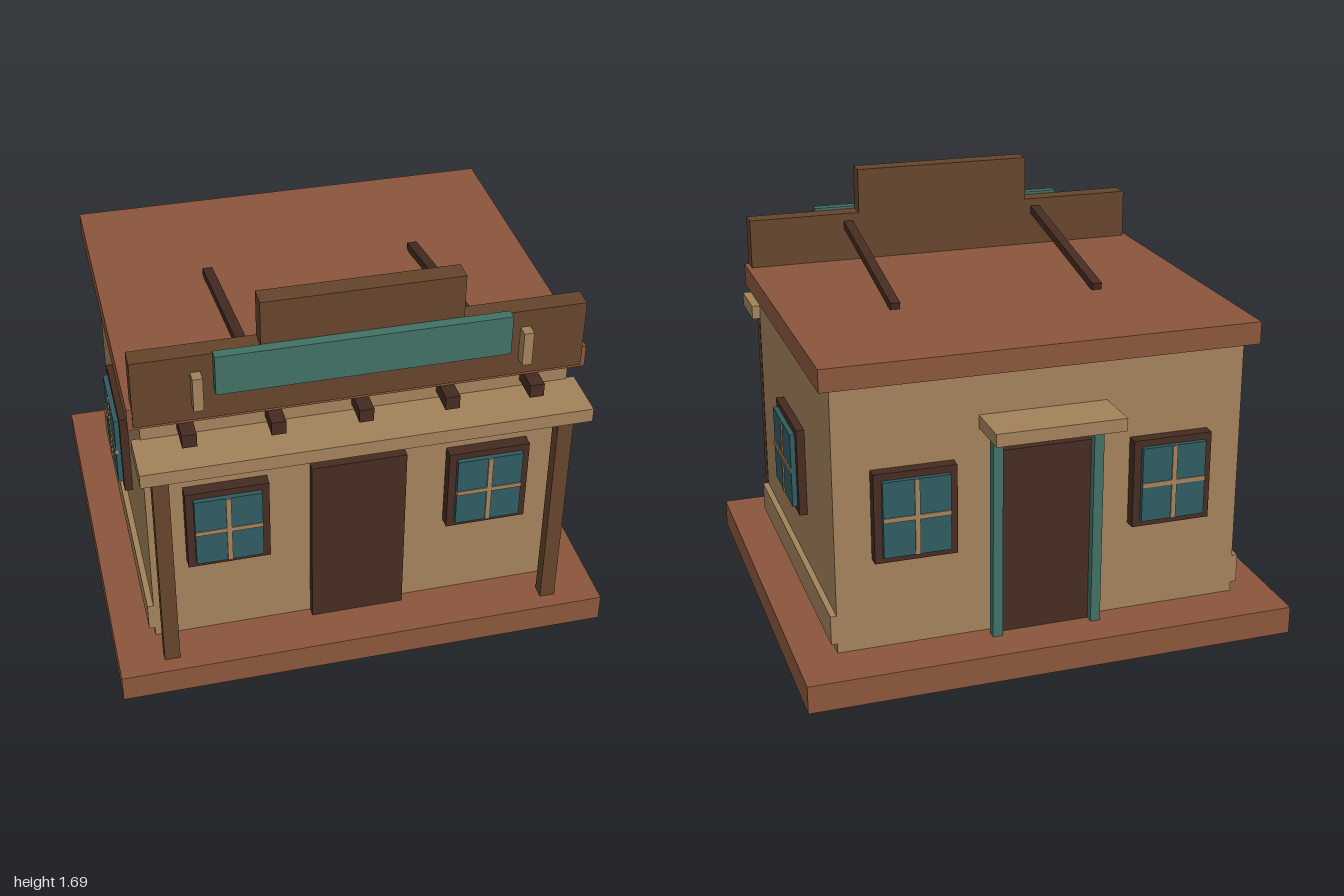
import * as THREE from 'three';

const material = (name, color) => {
  const m = new THREE.MeshStandardMaterial({ color });
  m.name = name;
  return m;
};

export function createModel() {
  const terracotta = material('terracotta', 0x8b563c);
  const adobe = material('adobe', 0xa2815a);
  const wood = material('brown wood', 0x65442b);
  const darkWood = material('dark wood', 0x452b21);
  const teal = material('teal paint', 0x427065);
  const glass = material('window glass', 0x2f5a60);

  const model = new THREE.Group();
  model.name = 'storefront';

  // Box given by its extents along x, y and z
  function box(name, mat, [x0, x1], [y0, y1], [z0, z1], parent = model) {
    const mesh = new THREE.Mesh(new THREE.BoxGeometry(x1 - x0, y1 - y0, z1 - z0), mat);
    mesh.position.set((x0 + x1) / 2, (y0 + y1) / 2, (z0 + z1) / 2);
    mesh.name = name;
    parent.add(mesh);
    return mesh;
  }
  const around = (c, width) => [c - width / 2, c + width / 2];

  // Main building
  box('foundation', terracotta, [-1, 1], [0, 0.115], [-0.88, 0.88]);
  box('walls', adobe, [-0.833, 0.833], [0.115, 1.21], [-0.668, 0.668]);
  box('roof', terracotta, [-0.88, 0.88], [1.205, 1.296], [-0.715, 0.715]);

  // Stepped false front and sign board
  box('parapet', wood, [-0.86, 0.86], [1.22, 1.503], [0.643, 0.724]);
  box('parapetTop', wood, [-0.382, 0.382], [1.503, 1.692], [0.643, 0.724]);
  box('signBoard', teal, [-0.558, 0.558], [1.348, 1.514], [0.724, 0.766]);

  // Porch canopy and front door
  box('porchCanopy', adobe, [-0.867, 0.867], [1.06, 1.118], [0.66, 0.877]);
  box('frontDoor', darkWood, [-0.19, 0.19], [0.115, 0.887], [0.66, 0.705]);

  // Beam ends above the porch
  for (let i = -2; i <= 2; i++) {
    box('beamEnd', darkWood, around(i / 3, 0.056), [1.147, 1.203], [0.66, 0.79]);
  }

  // Back entrance
  box('backDoor', darkWood, [-0.19, 0.19], [0.115, 0.887], [-0.7, -0.66]);
  box('backCanopy', adobe, [-0.26, 0.26], [0.978, 1.03], [-0.876, -0.66]);

  // Parts mirrored left and right
  for (const s of [-1, 1]) {
    box('signBracket', adobe, around(s * 0.623, 0.038), [1.29, 1.432], [0.72, 0.771]);
    box('porchPost', wood, around(s * 0.787, 0.062), [0.115, 1.06], [0.761, 0.816]);
    box('backPost', teal, around(s * 0.205, 0.04), [0.115, 0.955], [-0.736, -0.698]);
    box('sideTrim', adobe, around(s * 0.842, 0.03), [0.155, 0.275], [-0.668, 0.668]);

    // Sloping brace from the false front down to the roof
    const from = new THREE.Vector3(s * 0.43, 1.458, 0.67);
    const to = new THREE.Vector3(s * 0.43, 1.308, -0.12);
    const brace = new THREE.Mesh(
      new THREE.BoxGeometry(0.04, 0.034, from.distanceTo(to)), darkWood);
    brace.position.copy(from).add(to).multiplyScalar(0.5);
    brace.rotation.x = -Math.atan2(from.y - to.y, from.z - to.z);
    brace.name = 'parapetBrace';
    model.add(brace);
  }

  // Window facing +z with its back on z = 0
  function addWindow(width, x, z, turn) {
    const w = new THREE.Group();
    w.name = 'window';
    box('frame', darkWood, around(0, width), [-0.183, 0.183], [0, 0.049], w);
    const inner = width - 0.062;
    box('pane', glass, around(0, inner), [-0.155, 0.155], [0.02, 0.069], w);
    box('verticalBar', adobe, around(0, 0.02), [-0.154, 0.154], [0.06, 0.074], w);
    box('horizontalBar', adobe, around(0, inner), around(0, 0.019), [0.06, 0.0735], w);
    w.position.set(x, 0.678, z);
    w.rotation.y = turn;
    model.add(w);
  }
  for (const s of [-1, 1]) {
    addWindow(0.328, s * 0.524, 0.668, 0);
    addWindow(0.328, s * 0.524, -0.668, Math.PI);
    addWindow(0.394, s * 0.817, 0, s * Math.PI / 2);
  }

  return model;
}
